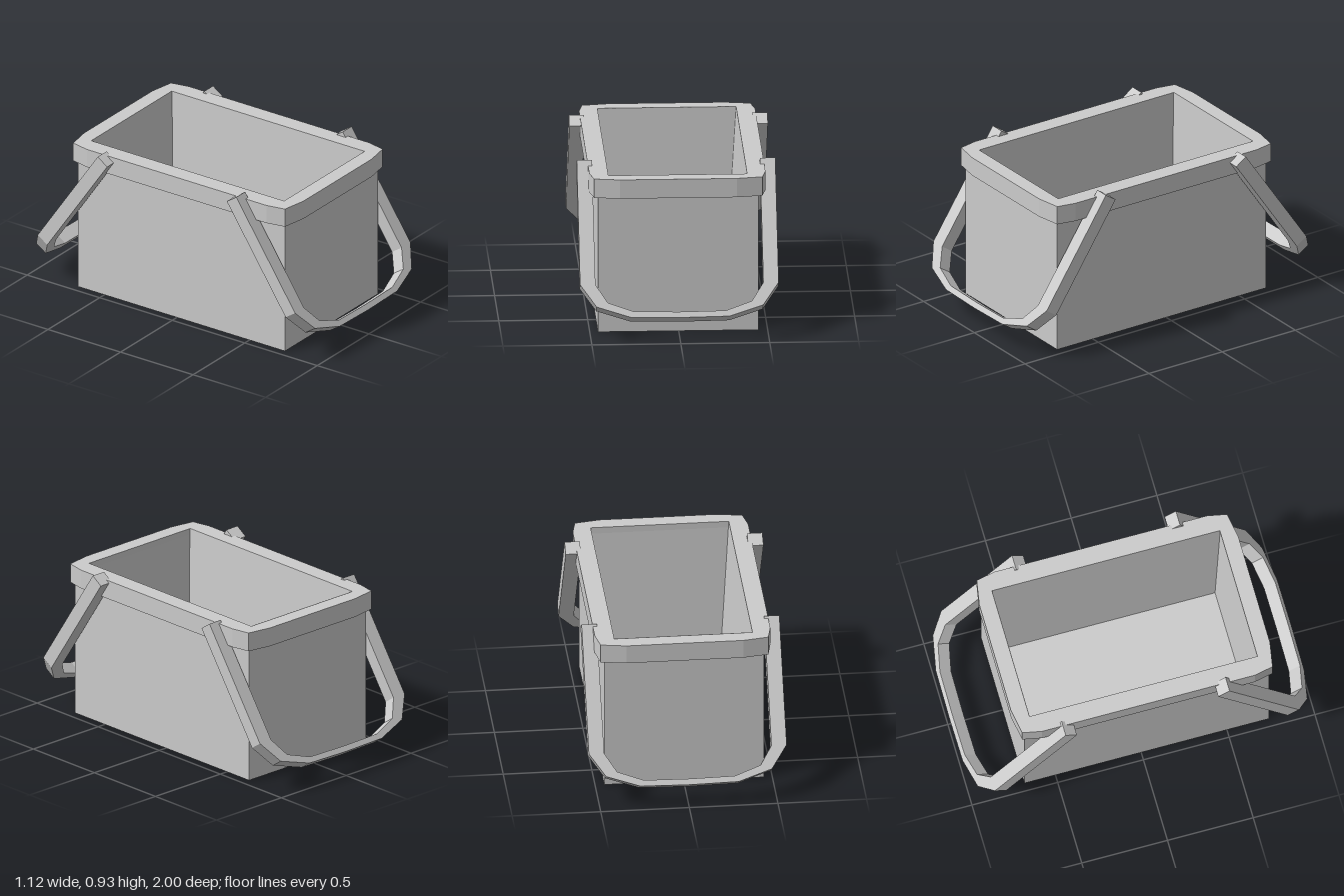
import * as THREE from 'three';

const CX = -0.003, CZ = 0.03;

function material() {
  return new THREE.MeshStandardMaterial({ color: 0xcccccc, flatShading: true });
}

// Skin a stack of centred rectangles [width, depth, y] into one faceted surface
function rectLoft(sections) {
  const pos = [], index = [];
  for (const [w, d, y] of sections) {
    for (const [sx, sz] of [[-1, 1], [1, 1], [1, -1], [-1, -1]]) pos.push(sx * w / 2, y, sz * d / 2);
  }
  for (let s = 0; s < sections.length - 1; s++) {
    for (let i = 0; i < 4; i++) {
      const a = s * 4 + i, b = s * 4 + (i + 1) % 4;
      index.push(a, b, b + 4, a, b + 4, a + 4);
    }
  }
  const indexed = new THREE.BufferGeometry();
  indexed.setAttribute('position', new THREE.Float32BufferAttribute(pos, 3));
  indexed.setIndex(index);
  const geo = indexed.toNonIndexed();
  geo.computeVertexNormals();
  return geo;
}

function shapeFrom(points) {
  return new THREE.Shape(points.map(([x, y]) => new THREE.Vector2(x, y)));
}

// Half outline followed by its mirror image in x
function mirrored(half) {
  return [...half, ...half.map(([x, y]) => [-x, y]).reverse()];
}

export function createModel() {
  const group = new THREE.Group();
  const add = (name, geo) => {
    const mesh = new THREE.Mesh(geo, material());
    mesh.name = name;
    group.add(mesh);
    return mesh;
  };

  // Hollow box: underside, outer walls, tapered inner walls, floor
  add('body', rectLoft([
    [0, 0, 0], [0.902, 1.425, 0], [0.902, 1.425, 0.82],
    [0.78, 1.33, 0.9], [0.675, 1.24, 0.05], [0, 0, 0.05],
  ])).position.set(CX, 0, CZ + 0.002);

  // Rim collar with chamfered corners and a rectangular opening
  const rimShape = shapeFrom(mirrored([
    [0.33, -0.755], [0.473, -0.73], [0.495, -0.62],
    [0.495, 0.62], [0.473, 0.73], [0.33, 0.755],
  ]));
  rimShape.holes.push(shapeFrom([[-0.39, -0.665], [-0.39, 0.665], [0.39, 0.665], [0.39, -0.665]]));
  const rimGeo = new THREE.ExtrudeGeometry(rimShape, { depth: 0.11, bevelEnabled: false });
  rimGeo.rotateX(-Math.PI / 2);
  add('rim', rimGeo).position.set(CX, 0.79, CZ);

  // U-shaped bail handles, swung down at each end
  const outer = [[0.558, 0], [0.558, -0.732], [0.468, -0.864], [0.278, -0.927], [0, -0.932]];
  const inner = [[0, -0.898], [0.257, -0.894], [0.405, -0.84], [0.472, -0.732], [0.472, 0]];
  const flip = (pts) => pts.map(([x, y]) => [-x, y]).reverse();
  const handleShape = shapeFrom([
    ...outer, ...flip(outer).slice(1),
    ...flip(inner), ...inner.slice(1),
  ]);
  const thickness = 0.079;
  const handleGeo = new THREE.ExtrudeGeometry(handleShape, { depth: thickness, bevelEnabled: false });
  handleGeo.translate(0, 0, -thickness / 2);
  for (const [name, y, z, tilt] of [
    ['frontHandle', 0.908, 0.4525, -0.587],
    ['backHandle', 0.89, -0.4375, 0.6],
  ]) {
    const handle = add(name, handleGeo);
    handle.position.set(CX, y, z);
    handle.rotation.x = tilt;
  }

  return group;
}
